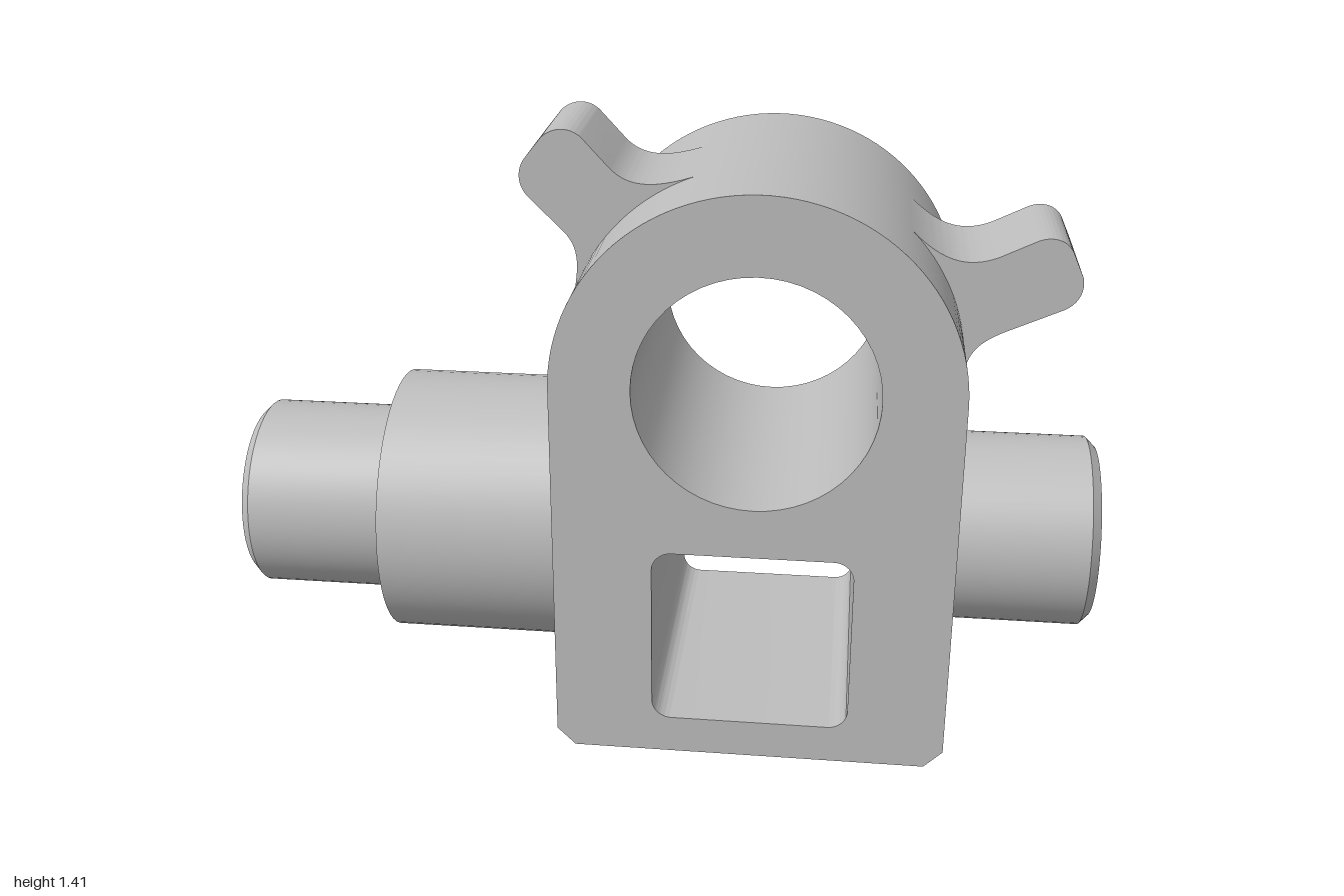
import * as THREE from 'three';
import { toCreasedNormals } from 'three/addons/utils/BufferGeometryUtils.js';

const CX = 0.224, CY = 0.898, R = 0.447; // centre and radius of the rounded top
const AXIS_Y = 0.45;                     // height of the trunnion axis

export function createModel() {
  const group = new THREE.Group();
  const steel = new THREE.MeshStandardMaterial({ color: 0xbdbdbd });
  steel.name = 'steel grey';

  const add = (name, geometry) => {
    const mesh = new THREE.Mesh(toCreasedNormals(geometry, 0.5), steel);
    mesh.name = name;
    group.add(mesh);
    return mesh;
  };

  // Extrude a front profile, centred on z = 0
  const extrude = (shape, depth) => new THREE.ExtrudeGeometry(shape, {
    depth, bevelEnabled: false, curveSegments: 28,
  }).translate(0, 0, -depth / 2);

  // Arched block with chamfered feet
  const left = CX - R, right = CX + R, c = 0.042;
  const body = new THREE.Shape();
  body.moveTo(left + c, 0);
  body.lineTo(right - c, 0);
  body.lineTo(right, c);
  body.lineTo(right, CY);
  body.absarc(CX, CY, R, 0, Math.PI, false);
  body.lineTo(left, c);
  body.closePath();

  // Round bore
  const bore = new THREE.Path();
  bore.absarc(CX, CY + 0.004, 0.268, 0, Math.PI * 2, true);

  // Rounded rectangular window
  const x0 = 0, x1 = 0.45, y0 = 0.09, y1 = 0.518, r = 0.045;
  const win = new THREE.Path();
  win.absarc(x0 + r, y0 + r, r, Math.PI * 1.5, Math.PI, true);
  win.absarc(x0 + r, y1 - r, r, Math.PI, Math.PI / 2, true);
  win.absarc(x1 - r, y1 - r, r, Math.PI / 2, 0, true);
  win.absarc(x1 - r, y0 + r, r, 0, -Math.PI / 2, true);
  win.closePath();
  body.holes.push(bore, win);
  add('body', extrude(body, 0.716));

  // Left-hand ear, blended into the arch
  const earA = new THREE.Shape();
  earA.moveTo(-0.206, 1.0);
  earA.bezierCurveTo(-0.19, 1.09, -0.175, 1.145, -0.225, 1.19);
  earA.lineTo(-0.295, 1.26);
  earA.bezierCurveTo(-0.32, 1.285, -0.32, 1.32, -0.303, 1.345);
  earA.lineTo(-0.265, 1.393);
  earA.bezierCurveTo(-0.24, 1.418, -0.2, 1.42, -0.175, 1.395);
  earA.lineTo(-0.115, 1.33);
  earA.bezierCurveTo(-0.07, 1.285, -0.01, 1.29, 0.08, 1.321);
  earA.lineTo(0.02, 1.255);
  earA.lineTo(-0.11, 1.15);
  earA.closePath();
  add('leftEar', extrude(earA, 0.268));

  // Right-hand ear
  const earB = new THREE.Shape();
  earB.moveTo(0.671, 0.88);
  earB.bezierCurveTo(0.674, 0.945, 0.71, 0.967, 0.75, 0.988);
  earB.lineTo(0.875, 1.045);
  earB.bezierCurveTo(0.905, 1.06, 0.918, 1.09, 0.91, 1.12);
  earB.lineTo(0.885, 1.175);
  earB.bezierCurveTo(0.87, 1.205, 0.835, 1.212, 0.805, 1.197);
  earB.lineTo(0.73, 1.16);
  earB.bezierCurveTo(0.66, 1.13, 0.605, 1.15, 0.54, 1.214);
  earB.lineTo(0.55, 1.12);
  earB.lineTo(0.62, 0.98);
  earB.closePath();
  add('rightEar', extrude(earB, 0.268));

  // Turned parts: profile of [radius, distance], pointing outwards along x
  const turn = (name, profile, side) => {
    const points = profile.map(([pr, d]) => new THREE.Vector2(pr, d));
    const geometry = new THREE.LatheGeometry(points, 56)
      .rotateZ(-side * Math.PI / 2).translate(0, AXIS_Y, 0);
    return add(name, geometry);
  };
  const rs = 0.223, ch = 0.022;
  const tip = [[rs, 1 - ch], [rs - ch, 1], [0, 1]];
  turn('rightTrunnion', [[0, 0.66], [rs, 0.66], ...tip], 1);
  turn('leftTrunnion', [[0, 0.63], [rs, 0.63], ...tip], -1);
  turn('shoulder', [[0, 0.21], [0.313, 0.21], [0.313, 0.642], [0, 0.642]], -1);

  return group;
}
